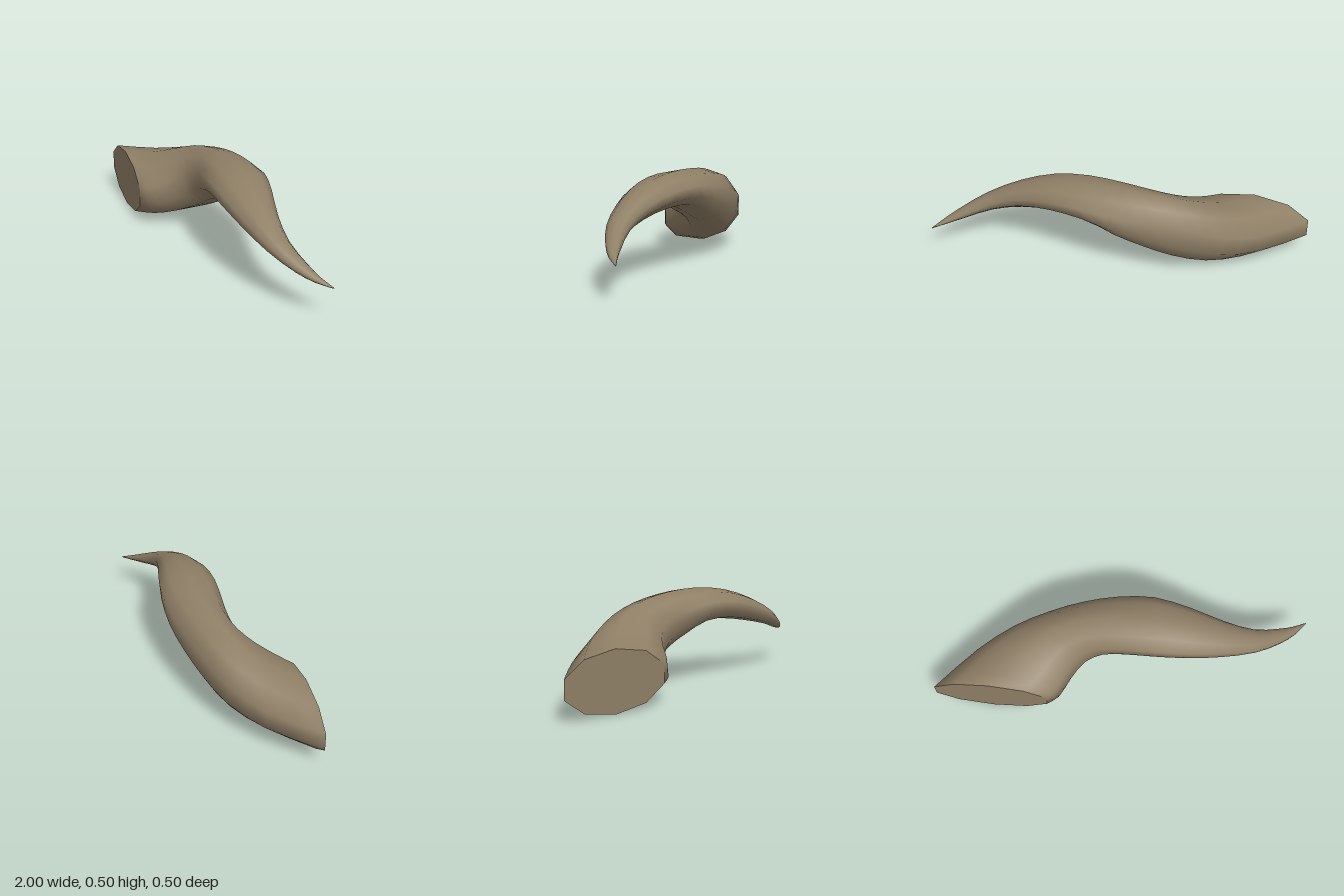
import * as THREE from 'three';

const SIDES = 10;

// Cross-sections: [back x, back z, front x, front z, bottom y, top y, lean of the top in x]
const SECTIONS = [
  [-1.0, -0.05, -0.45, 0.17, 0.0, 0.32, 0.0],
  [-0.72, -0.185, -0.39, 0.155, 0.02, 0.34, -0.03],
  [-0.5, -0.243, -0.31, 0.09, 0.055, 0.39, -0.04],
  [-0.3, -0.25, -0.22, 0.04, 0.12, 0.44, -0.05],
  [-0.12, -0.235, -0.12, 0.045, 0.19, 0.475, -0.04],
  [0.05, -0.2, -0.01, 0.09, 0.25, 0.495, -0.02],
  [0.22, -0.135, 0.13, 0.155, 0.315, 0.5, 0.01],
  [0.38, -0.035, 0.3, 0.21, 0.32, 0.475, 0.02],
  [0.54, 0.07, 0.48, 0.24, 0.29, 0.415, 0.02],
  [0.69, 0.132, 0.67, 0.248, 0.25, 0.33, 0.02],
  [0.83, 0.142, 0.82, 0.22, 0.206, 0.258, 0.01],
  [0.92, 0.14, 0.92, 0.182, 0.183, 0.214, 0.0],
  [1.0, 0.129, 1.0, 0.133, 0.173, 0.177, 0.0],
];

// One ring of points, with flat sides at the front and back
function ring([bx, bz, fx, fz, low, high, lean]) {
  const points = [];
  for (let j = 0; j < SIDES; j++) {
    const a = ((j + 0.5) / SIDES) * Math.PI * 2;
    const c = Math.cos(a) / Math.cos(Math.PI / SIDES);
    const s = Math.sin(a);
    points.push(new THREE.Vector3(
      (bx + fx) / 2 + (c * (fx - bx)) / 2 + s * lean,
      (low + high) / 2 + (s * (high - low)) / 2,
      (bz + fz) / 2 + (c * (fz - bz)) / 2
    ));
  }
  return points;
}

function makeGeometry(points, index) {
  const geometry = new THREE.BufferGeometry().setFromPoints(points);
  geometry.setIndex(index);
  geometry.computeVertexNormals();
  return geometry;
}

export function createModel() {
  const group = new THREE.Group();
  group.name = 'horn';
  const hornBrown = new THREE.MeshStandardMaterial({ color: 0x8f7f66 });
  hornBrown.name = 'hornBrown';

  // Rings smoothed along the length, one curve for each side
  const rings = SECTIONS.map(ring);
  const steps = (rings.length - 1) * 2;
  const curves = rings[0].map((_, j) => new THREE.CatmullRomCurve3(rings.map((r) => r[j])));
  const points = [];
  const index = [];
  for (let i = 0; i <= steps; i++) {
    for (let j = 0; j < SIDES; j++) {
      points.push(curves[j].getPoint(i / steps));
      if (i === steps) continue;
      const a = i * SIDES + j;
      const b = i * SIDES + ((j + 1) % SIDES);
      index.push(a, a + SIDES, b, b, a + SIDES, b + SIDES);
    }
  }
  // Closed tip
  const last = steps * SIDES;
  for (let j = 1; j < SIDES - 1; j++) index.push(last, last + j + 1, last + j);
  const body = new THREE.Mesh(makeGeometry(points, index), hornBrown);
  body.name = 'curvedHorn';
  group.add(body);

  // Flat slanted cut at the root
  const capIndex = [];
  for (let j = 1; j < SIDES - 1; j++) capIndex.push(0, j, j + 1);
  const cap = new THREE.Mesh(makeGeometry(rings[0], capIndex), hornBrown);
  cap.name = 'rootFace';
  group.add(cap);

  return group;
}
